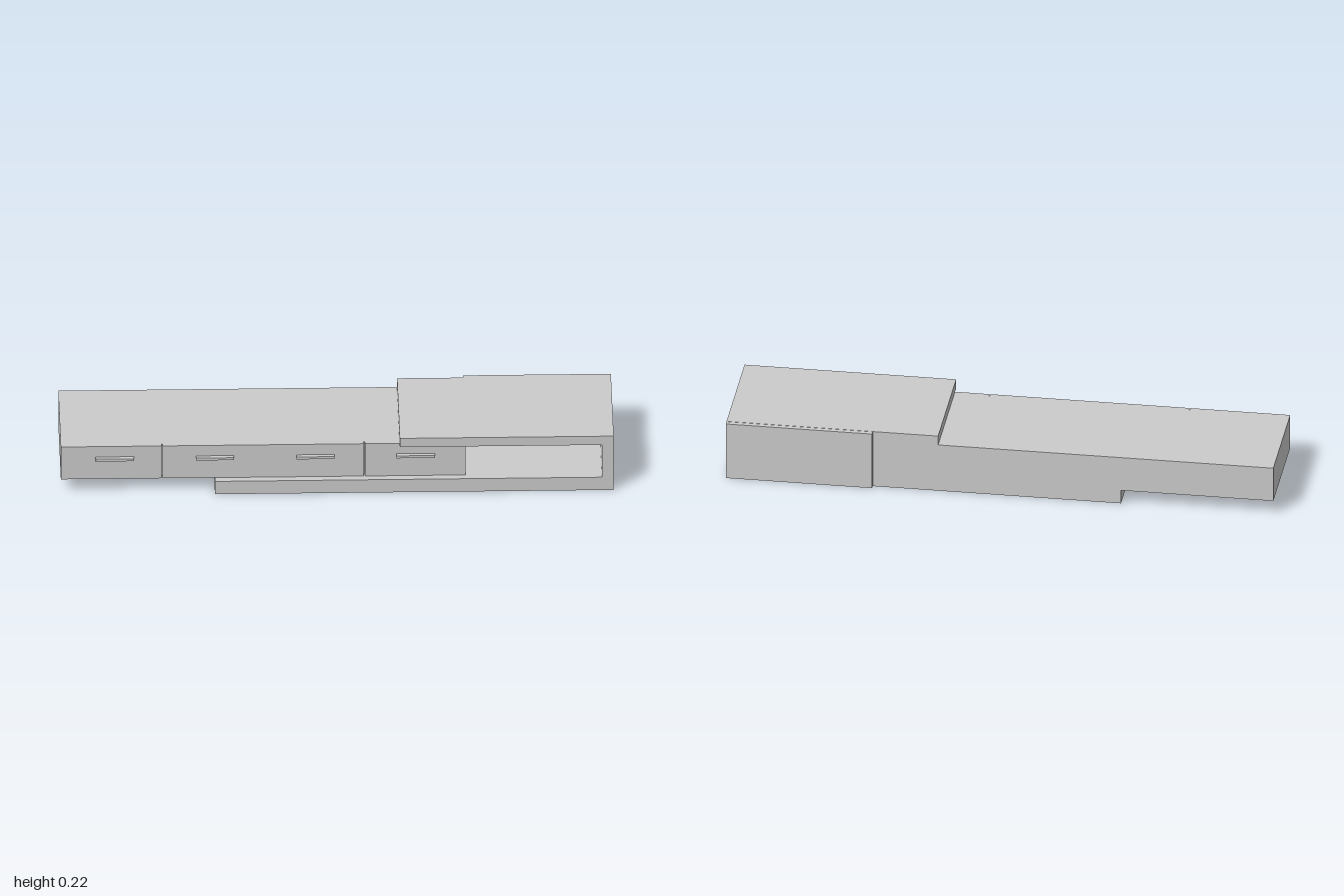
import * as THREE from 'three';

const material = new THREE.MeshStandardMaterial({ color: 0xcccccc });

// Box given by its min and max on each axis
function block(name, [x0, x1], [y0, y1], [z0, z1]) {
  const mesh = new THREE.Mesh(new THREE.BoxGeometry(x1 - x0, y1 - y0, z1 - z0), material);
  mesh.position.set((x0 + x1) / 2, (y0 + y1) / 2, (z0 + z1) / 2);
  mesh.name = name;
  return mesh;
}

export function createModel() {
  const model = new THREE.Group();
  model.name = 'mediaConsole';

  const back = -0.213, frameFront = 0.231, cabinetFront = 0.203;
  const low = 0.053, high = 0.187, cabinetEnd = 0.465;

  // C-shaped frame: long base, end panel and shorter top
  const outline = new THREE.Shape([
    [-0.443, 0], [1, 0], [1, 0.223], [0.226, 0.223],
    [0.226, high], [0.958, high], [0.958, low], [-0.443, low],
  ].map(([x, y]) => new THREE.Vector2(x, y)));
  const frame = new THREE.Mesh(
    new THREE.ExtrudeGeometry(outline, { depth: frameFront - back, bevelEnabled: false }), material);
  frame.position.z = back;
  frame.name = 'wrapFrame';
  model.add(frame);

  // Panel closing the back of the open niche
  model.add(block('nicheBackPanel', [cabinetEnd, 1], [0.001, 0.222], [-0.231, back]));

  // Long cabinet body held inside the frame
  model.add(block('cabinetBody', [-1, cabinetEnd], [low, high], [back, cabinetFront - 0.015]));

  // Drawer fronts with narrow gaps; the wide middle one carries two handles
  const gap = 0.002;
  const fronts = [[-1, -0.634 - gap], [-0.634 + gap, 0.098 - gap], [0.098 + gap, cabinetEnd]];
  for (const span of fronts) {
    model.add(block('drawerFront', span, [low, high], [cabinetFront - 0.015, cabinetFront]));
  }

  // Slim bar handles
  for (let i = 0; i < 4; i++) {
    const x = -0.805 + i * 0.363;
    model.add(block('handle', [x - 0.069, x + 0.069], [0.134, 0.144], [cabinetFront, 0.219]));
  }
  return model;
}
